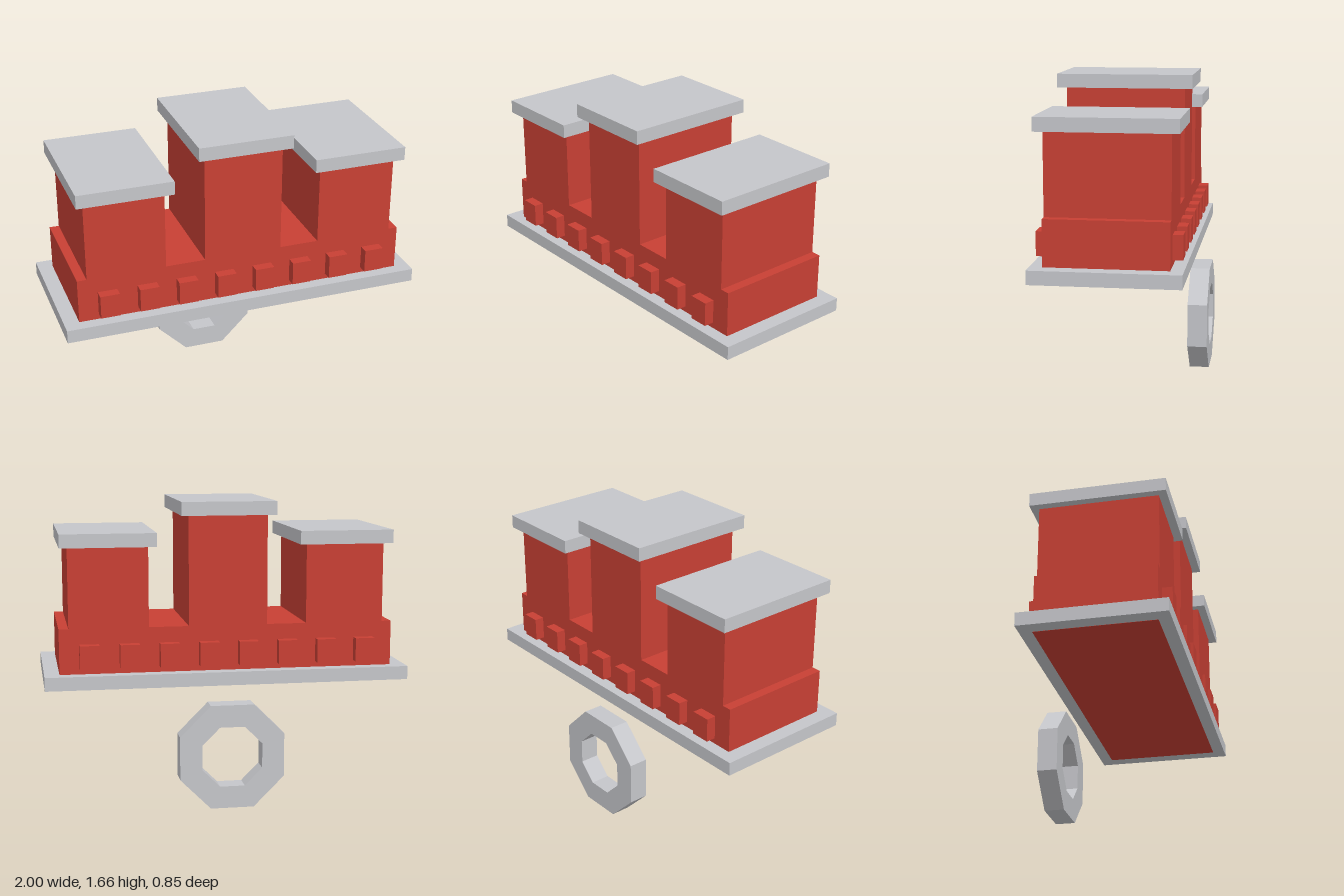
import * as THREE from 'three';

export function createModel() {
  const model = new THREE.Group();
  const red = new THREE.MeshStandardMaterial({ color: 0xc84034 });
  red.name = 'red';
  const grey = new THREE.MeshStandardMaterial({ color: 0xc5c6ca });
  grey.name = 'light grey';

  // Box given by its limits on each axis
  const box = (name, material, [x0, x1], [y0, y1], [z0, z1]) => {
    const mesh = new THREE.Mesh(new THREE.BoxGeometry(x1 - x0, y1 - y0, z1 - z0), material);
    mesh.position.set((x0 + x1) / 2, (y0 + y1) / 2, (z0 + z1) / 2);
    mesh.name = name;
    model.add(mesh);
  };
  const bodyZ = [-0.288, 0.359];

  // Base plate with the red body set through it
  box('basePlate', grey, [-1, 1], [0.67, 0.744], [-0.357, 0.427]);
  box('body', red, [-0.918, 0.918], [0.669, 0.991], bodyZ);

  // Three towers with overhanging caps, the middle one taller
  for (const [x, top] of [[-0.65, 1.427], [0, 1.589], [0.65, 1.427]]) {
    box('tower', red, [x - 0.216, x + 0.216], [0.991, top], bodyZ);
    box('towerCap', grey, [x - 0.259, x + 0.259], [top, top + 0.074], [-0.332, 0.404]);
  }

  // Eight blocks along the front and the back
  for (let i = 0; i < 8; i++) {
    const x = (i - 3.5) * 0.2165;
    const y = [0.776, 0.906];
    box('frontBlock', red, [x - 0.053, x + 0.053], y, [0.359, 0.414]);
    box('backBlock', red, [x - 0.053, x + 0.053], y, [-0.342, -0.288]);
  }

  // Octagonal ring hanging at the back
  const octagon = (path, apothem) => path.setFromPoints(Array.from({ length: 8 }, (_, i) => {
    const angle = (i + 0.5) * Math.PI / 4;
    const radius = apothem / Math.cos(Math.PI / 8);
    return new THREE.Vector2(radius * Math.cos(angle), radius * Math.sin(angle));
  }));
  const shape = octagon(new THREE.Shape(), 0.287);
  shape.holes.push(octagon(new THREE.Path(), 0.165));
  const ring = new THREE.Mesh(new THREE.ExtrudeGeometry(shape, { depth: 0.108, bevelEnabled: false }), grey);
  ring.position.set(0, 0.287, -0.425);
  ring.name = 'octagonalRing';
  model.add(ring);

  return model;
}
